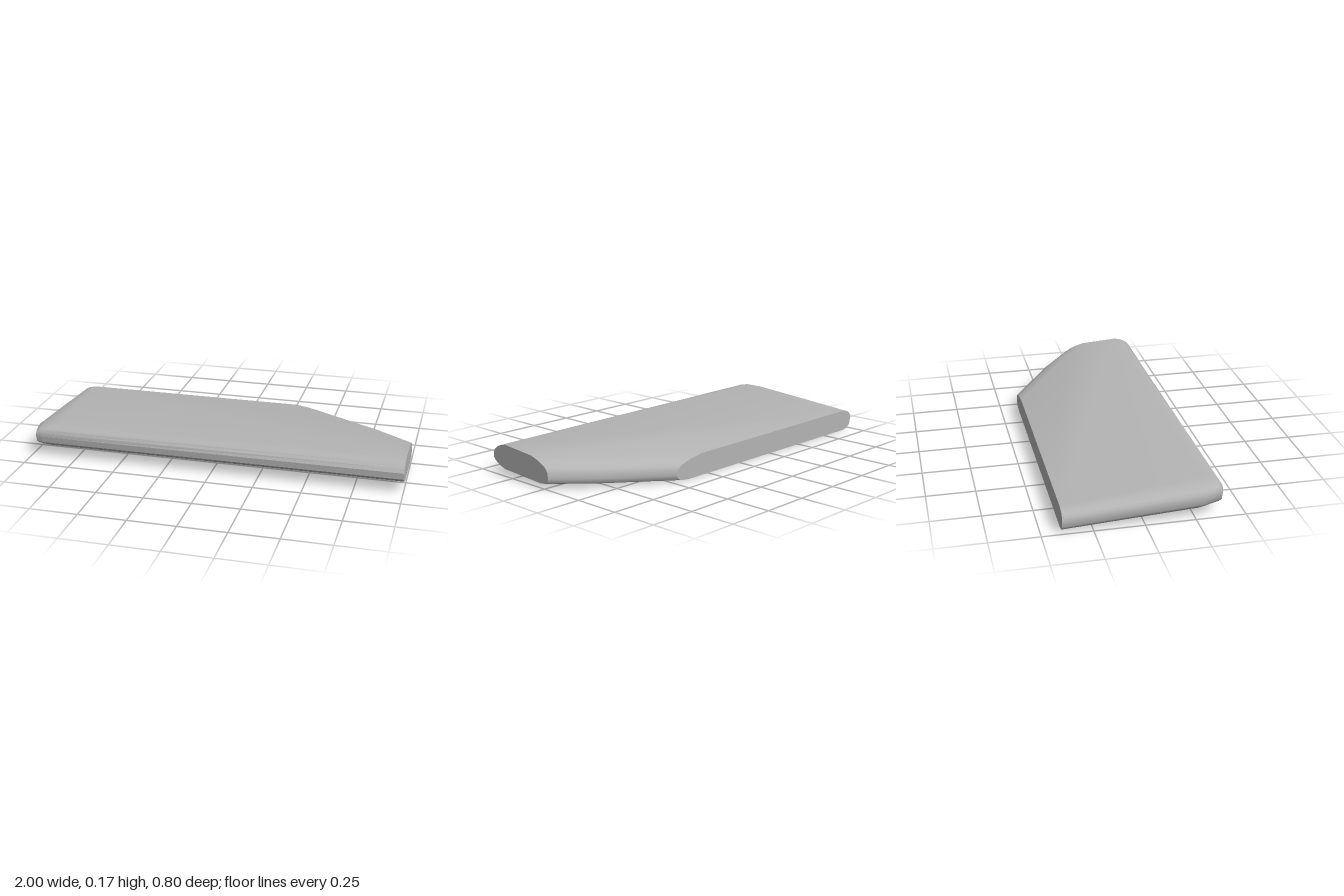
import * as THREE from 'three';
import { toCreasedNormals } from 'three/addons/utils/BufferGeometryUtils.js';

// Each layer: height fraction t, then how far the outline is drawn in at the
// left end, the front edge (left end / right end) and the slanted corner.
const LAYERS = [
  [0.00, 0.060, 0.090, 0.090, 0.060],
  [0.05, 0.040, 0.060, 0.065, 0.026],
  [0.11, 0.024, 0.038, 0.040, 0.010],
  [0.20, 0.011, 0.016, 0.018, 0.003],
  [0.30, 0.004, 0.003, 0.003, 0.000],
  [0.55, 0.000, 0.000, 0.003, 0.005],
  [0.70, 0.003, 0.004, 0.017, 0.018],
  [0.82, 0.012, 0.013, 0.036, 0.045],
  [0.91, 0.028, 0.035, 0.058, 0.075],
  [1.00, 0.070, 0.090, 0.095, 0.125],
];

// Plan outline of one layer, counter-clockwise from above
function outline(l, f0, f1, d) {
  return [
    [-1 + l, -0.4],
    [-1 + l, 0.3 - f0],
    [-0.975 + l, 0.385 - f0],
    [-0.93 + l, 0.4 - f0],
    [1, 0.398 - f1],
    [1, -0.03 + d],
    [0.8, -0.19 + d],
    [0.48 - d / 0.7, -0.4],
  ];
}

// The underside and top both slope down to the back, the top more steeply
const bottomY = (z) => 0.003 + 0.0545 * (z + 0.4);
const topY = (z) => 0.119 + 0.0735 * (z + 0.4);

function slabGeometry() {
  const positions = [];
  const index = [];
  const n = 8;
  for (const [t, l, f0, f1, d] of LAYERS) {
    for (const [x, z] of outline(l, f0, f1, d)) {
      positions.push(x, THREE.MathUtils.lerp(bottomY(z), topY(z), t), z);
    }
  }

  // Walls between layers
  for (let r = 0; r < LAYERS.length - 1; r++) {
    for (let i = 0; i < n; i++) {
      const a = r * n + i;
      const b = r * n + ((i + 1) % n);
      index.push(a, b, b + n, a, b + n, a + n);
    }
  }

  // Flat underside and top
  const last = (LAYERS.length - 1) * n;
  for (let i = 1; i < n - 1; i++) {
    index.push(0, i + 1, i);
    index.push(last, last + i, last + i + 1);
  }

  const geometry = new THREE.BufferGeometry();
  geometry.setAttribute('position', new THREE.Float32BufferAttribute(positions, 3));
  geometry.setIndex(index);
  return toCreasedNormals(geometry, 0.55);
}

export function createModel() {
  const group = new THREE.Group();
  group.name = 'slab';

  const grey = new THREE.MeshStandardMaterial({ color: 0xb4b4b4 });
  grey.name = 'grey';

  const body = new THREE.Mesh(slabGeometry(), grey);
  body.name = 'slabBody';
  group.add(body);
  return group;
}
